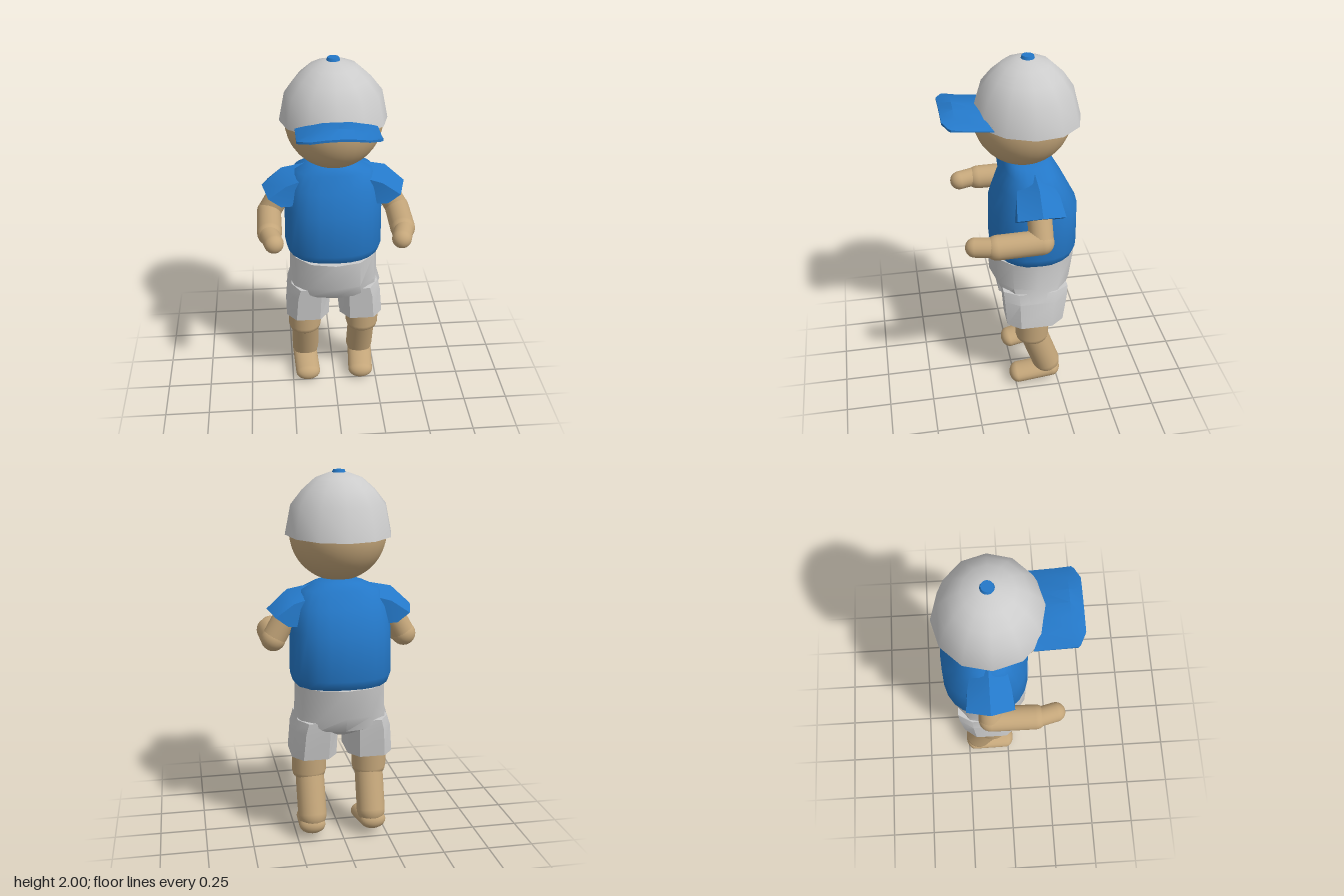
import * as THREE from 'three';
import { toCreasedNormals } from 'three/addons/utils/BufferGeometryUtils.js';

const V = (x, y, z) => new THREE.Vector3(x, y, z);
const mat = (color) => new THREE.MeshStandardMaterial({ color, side: THREE.DoubleSide });

// Superellipse ring: half width a, half depth b, centre (cx, y, cz)
function ring(n, y, a, b, cz, { cx = 0, e = 2, tilt = 0, turn = 0 } = {}) {
  const soft = (v) => Math.sign(v) * Math.pow(Math.abs(v), 2 / e);
  return Array.from({ length: n }, (_, i) => {
    const t = (i / n) * Math.PI * 2 + turn;
    const z = b * soft(Math.cos(t));
    return V(cx + a * soft(Math.sin(t)), y + tilt * z, cz + z);
  });
}

// Skin a list of rings, with optional end caps; faces are turned outward
function loft(rings, crease, capStart = true, capEnd = true) {
  const n = rings[0].length, pts = rings.flat(), idx = [];
  for (let r = 0; r < rings.length - 1; r++) {
    for (let i = 0; i < n; i++) {
      const a = r * n + i, b = r * n + ((i + 1) % n);
      idx.push(a, b, a + n, b, b + n, a + n);
    }
  }
  const cap = (r, flip) => {
    const c = pts.length;
    pts.push(rings[r].reduce((s, p) => s.add(p), V(0, 0, 0)).divideScalar(n));
    for (let i = 0; i < n; i++) {
      const a = r * n + i, b = r * n + ((i + 1) % n);
      idx.push(...(flip ? [c, b, a] : [c, a, b]));
    }
  };
  if (capStart) cap(0, true);
  if (capEnd) cap(rings.length - 1, false);
  const mid = pts.reduce((s, p) => s.add(p), V(0, 0, 0)).divideScalar(pts.length);
  let volume = 0;
  for (let i = 0; i < idx.length; i += 3) {
    const [a, b, c] = [0, 1, 2].map((k) => pts[idx[i + k]].clone().sub(mid));
    volume += a.dot(b.cross(c));
  }
  if (volume < 0) idx.reverse();
  const g = new THREE.BufferGeometry().setFromPoints(pts);
  g.setIndex(idx);
  return toCreasedNormals(g, crease);
}

// Round-ended limb between two points
function limb(p, q, r) {
  const d = q.clone().sub(p);
  const g = new THREE.CapsuleGeometry(r, d.length(), 8, 24);
  g.applyQuaternion(new THREE.Quaternion().setFromUnitVectors(V(0, 1, 0), d.normalize()));
  return g.translate((p.x + q.x) / 2, (p.y + q.y) / 2, (p.z + q.z) / 2);
}

export function createModel() {
  const model = new THREE.Group();
  const skin = mat(0xc4a67a), blue = mat(0x2478c8), grey = mat(0xcccccc);
  const add = (name, geometry, material) => {
    const m = new THREE.Mesh(geometry, material);
    m.name = name;
    model.add(m);
    return m;
  };

  // Head, covered above by the cap
  add('head', new THREE.SphereGeometry(0.257, 32, 20, 0, Math.PI * 2, Math.PI * 0.46, Math.PI * 0.54)
    .translate(0, 1.68, -0.06), skin);

  // Twelve-sided cap crown with a sloping open rim
  add('capCrown', loft([
    [1.672, 0.283, 0.287, 0.06], [1.825, 0.252, 0.243, 0.02], [1.9, 0.192, 0.188, 0],
    [1.958, 0.125, 0.125, 0], [1.985, 0.05, 0.05, 0],
  ].map(([y, a, b, tilt]) => ring(12, y, a, b, -0.079, { tilt })), 0.9, false, true), grey);
  add('capButton', new THREE.CylinderGeometry(0.03, 0.038, 0.022, 12).translate(0, 1.989, -0.085), blue);

  // Arched visor, skinned from side to side
  add('capVisor', loft([-0.208, -0.195, -0.14, -0.07, 0, 0.07, 0.14, 0.195, 0.208].map((x) => {
    const h = 1 - (x / 0.208) ** 2, ax = Math.abs(x);
    const front = ax < 0.15 ? 0.365 : ax < 0.2 ? 0.338 : 0.325;
    return [
      V(x, 1.7 + 0.03 * h, 0.115 + 0.06 * h), V(x, 1.705 + 0.055 * h, 0.115 + 0.06 * h),
      V(x, 1.722 + 0.055 * h, 0.3), V(x, 1.73 + 0.02 * h, front), V(x, 1.718 + 0.02 * h, front),
    ];
  }), 0.5), blue);

  // Shirt body
  add('shirt', loft([
    [1.44, 0.08, 0.085, -0.09], [1.425, 0.13, 0.11, -0.093], [1.39, 0.21, 0.135, -0.1],
    [1.3, 0.25, 0.18, -0.108], [1.18, 0.268, 0.234, -0.118], [0.94, 0.27, 0.238, -0.118],
    [0.9, 0.258, 0.225, -0.118], [0.85, 0.21, 0.18, -0.115],
  ].map(([y, a, b, cz]) => ring(24, y, a, b, cz, { e: 2.4 })), 1), blue);

  // Shorts seat
  add('shortsSeat', loft([
    [0.89, 0.245, 0.243, -0.112], [0.73, 0.25, 0.228, -0.105],
    [0.65, 0.272, 0.192, -0.108], [0.6, 0.07, 0.1, -0.11],
  ].map(([y, a, b, cz]) => ring(12, y, a, b, cz, { e: 2.3 })), 0.7), grey);

  for (const s of [1, -1]) {
    const side = s > 0 ? 'left' : 'right';
    const P = (x, y, z) => V(s * x, y, z);

    // Sleeve: six-sided sections given by top and bottom points and half depth
    add(side + 'Sleeve', loft([
      [0.1, 1.425, 0.1, 1.2, 0.09], [0.28, 1.39, 0.19, 1.15, 0.13], [0.388, 1.29, 0.255, 1.19, 0.145],
    ].map(([tx, ty, bx, by, d]) => Array.from({ length: 6 }, (_, i) => {
      const t = (i / 6) * Math.PI * 2, k = (1 + Math.cos(t)) / 2;
      return P(bx + (tx - bx) * k, by + (ty - by) * k, -0.1 + d * Math.sin(t));
    })), 0.6), blue);

    // Bent arm
    add(side + 'UpperArm', limb(P(0.29, 1.24, -0.1), P(0.355, 1.125, -0.1), 0.064), skin);
    add(side + 'Forearm', limb(P(0.355, 1.125, -0.1), P(0.355, 1.12, 0.13), 0.066), skin);
    add(side + 'Hand', limb(P(0.358, 1.125, 0.15), P(0.335, 1.12, 0.24), 0.052), skin);

    // Boxy trouser leg of the shorts
    add(side + 'ShortsLeg', loft([
      [0.7, 0.135, 0.115, 0.19, -0.108], [0.64, 0.145, 0.124, 0.185, -0.108],
      [0.485, 0.154, 0.129, 0.167, -0.103],
    ].map(([y, cx, a, b, cz]) => ring(8, y, a, b, cz, { cx: s * cx, e: 3, turn: Math.PI / 8 })), 0.6), grey);

    // Leg and foot
    const thigh = [[0.095, 0.6], [0.095, 0.37], [0.088, 0.345], [0.07, 0.33], [0, 0.325]]
      .reverse().map(([r, y]) => new THREE.Vector2(r, y));
    add(side + 'Thigh', new THREE.LatheGeometry(thigh, 24).translate(s * 0.17, 0, -0.095), skin);
    add(side + 'Shin', limb(P(0.168, 0.37, -0.1), P(0.166, 0.135, -0.183), 0.079), skin);
    const foot = limb(V(0, 0, -0.1), V(0, 0, 0.1), 0.05);
    foot.scale(1.45, 1, 1).rotateX(0.18).rotateY(-s * 0.06).translate(s * 0.165, 0.068, -0.115);
    add(side + 'Foot', foot, skin);
  }
  return model;
}
